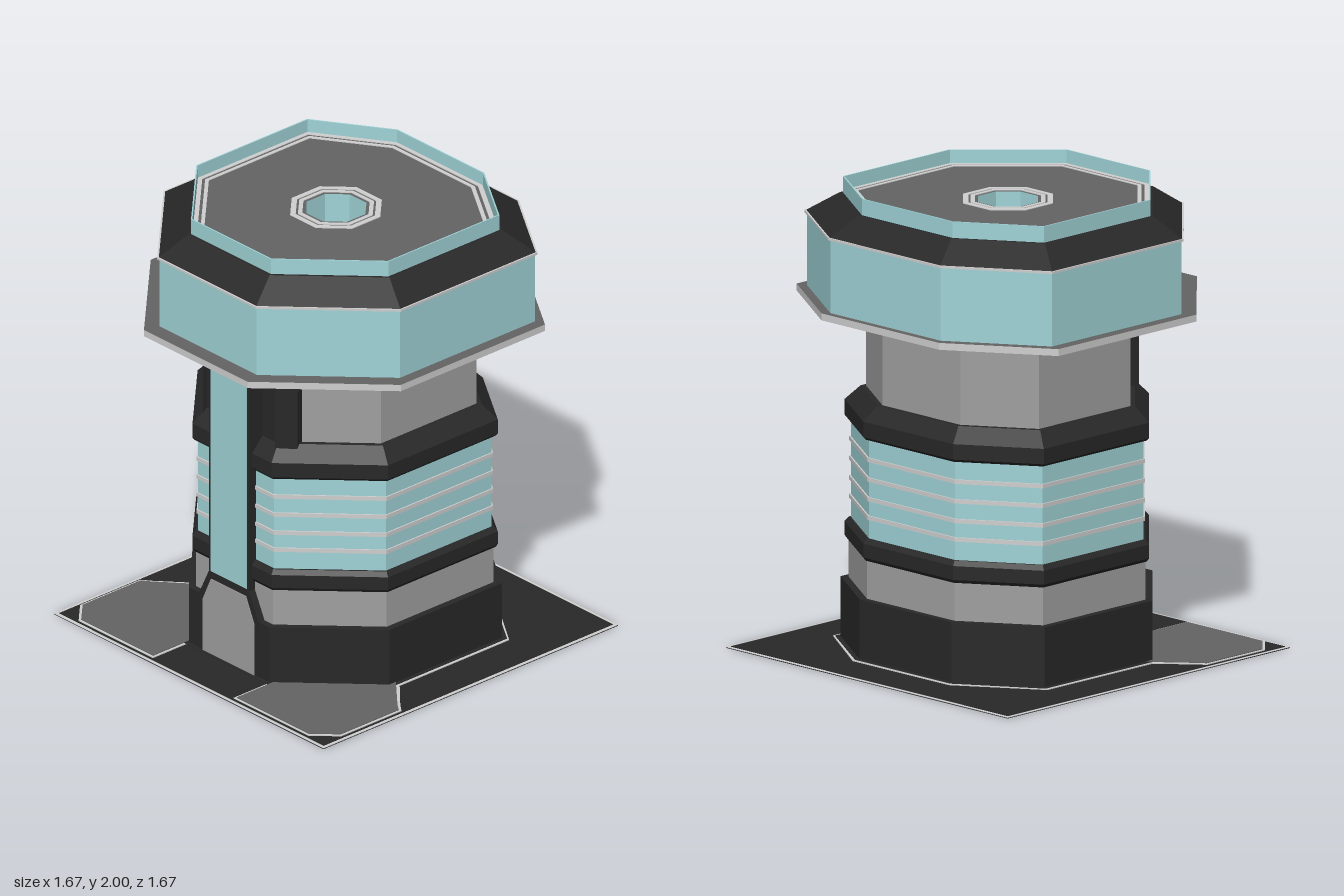
import * as THREE from 'three';

const mat = (name, color) => new THREE.MeshStandardMaterial({ name, color });

// Octagon with wide front chamfers and shallower back chamfers, [x, z] for radius 1
const TOWER = [[-0.415, 1], [0.415, 1], [1, 0.415], [1, -0.64], [0.45, -1], [-0.45, -1], [-1, -0.64], [-1, 0.415]];
const REGULAR = [[-0.42, 1], [0.42, 1], [1, 0.42], [1, -0.42], [0.42, -1], [-0.42, -1], [-1, -0.42], [-1, 0.42]];

// Joins equal-length loops of [x, y, z] points into a faceted surface
function loft(sections) {
  const pos = [];
  for (let k = 0; k + 1 < sections.length; k++) {
    const lo = sections[k], hi = sections[k + 1], n = lo.length;
    for (let i = 0; i < n; i++) {
      const j = (i + 1) % n;
      pos.push(...lo[i], ...lo[j], ...hi[j], ...lo[i], ...hi[j], ...hi[i]);
    }
  }
  const g = new THREE.BufferGeometry();
  g.setAttribute('position', new THREE.Float32BufferAttribute(pos, 3));
  g.computeVertexNormals();
  return g;
}

// Octagonal sweep of a [radius, y] profile
const band = (profile, outline = TOWER) =>
  loft(profile.map(([r, y]) => outline.map(([x, z]) => [x * r, y, z * r])));

const shapeOf = pts => new THREE.Shape(pts.map(([x, y]) => new THREE.Vector2(x, y)));
const mirrored = half => [...half, ...half.map(([x, y]) => [-x, y]).reverse()];

// Upright plate in x, y with its front face at z
function frontPlate(pts, z, depth) {
  return new THREE.ExtrudeGeometry(shapeOf(pts), { depth, bevelEnabled: false }).translate(0, 0, z - depth);
}
// Flat plate in x, z between heights y0 and y1
function floorPlate(pts, y0, y1) {
  return new THREE.ExtrudeGeometry(shapeOf(pts.map(([x, z]) => [x, -z])), { depth: y1 - y0, bevelEnabled: false })
    .rotateX(-Math.PI / 2).translate(0, y0, 0);
}
const slab = (size, y0, y1) => new THREE.BoxGeometry(size, y1 - y0, size).translate(0, (y0 + y1) / 2, 0);

export function createModel() {
  const model = new THREE.Group();
  model.name = 'tower';
  const dark = mat('darkTrim', 0x282828);
  const wall = mat('wallGrey', 0xa0a0a0);
  const floor = mat('floorGrey', 0x646464);
  const light = mat('lightEdge', 0xd0d0d0);
  const glass = mat('paleTeal', 0xa0d4d8);
  const add = (name, geometry, material) => {
    const m = new THREE.Mesh(geometry, material);
    m.name = name;
    model.add(m);
    return m;
  };

  // Ground plate with light border
  add('groundPlate', slab(1.67, 0, 0.003), dark);
  add('groundBorder', slab(1.67, 0.003, 0.005), light);
  add('groundTop', slab(1.64, 0.005, 0.007), dark);

  // Raised platform: light outline, dark apron and two grey front pads
  const half = [[0.25, 0.58], [0.25, 0.81], [0.71, 0.81], [0.81, 0.71], [0.81, 0.37], [0.77, 0.34],
    [0.635, 0.22], [0.635, -0.4], [0.285, -0.635]];
  add('platformOutline', floorPlate(mirrored(half), 0.006, 0.011), light);
  add('apron', band([[0.624, 0.01], [0.624, 0.0125], [0.5, 0.0125]]), dark);
  for (const s of [1, -1]) {
    const pad = [[0.26, 0.58], [0.26, 0.8], [0.705, 0.8], [0.8, 0.705], [0.8, 0.376], [0.766, 0.352], [0.6, 0.21]];
    add(s > 0 ? 'leftPad' : 'rightPad', floorPlate(pad.map(([x, z]) => [s * x, z]), 0.01, 0.014), floor);
  }

  // Tower body from the ground up
  add('base', band([[0.605, 0.005], [0.605, 0.27], [0.5, 0.27]]), dark);
  add('lowerWall', band([[0.575, 0.27], [0.575, 0.44]]), wall);
  add('lowerRing', band([[0.55, 0.435], [0.58, 0.435], [0.59, 0.45], [0.59, 0.51], [0.575, 0.53], [0.55, 0.53]]), dark);
  add('windowBand', band([[0.567, 0.52], [0.567, 0.96]]), glass);
  for (const y of [0.62, 0.7, 0.785, 0.87])
    add('windowStripe', band([[0.56, y - 0.009], [0.573, y - 0.009], [0.573, y + 0.009], [0.56, y + 0.009]]), light);
  add('upperRing', band([[0.55, 0.958], [0.58, 0.958], [0.59, 0.97], [0.59, 1.037], [0.532, 1.1], [0.48, 1.1]]), dark);
  add('neck', band([[0.512, 1.09], [0.512, 1.495]]), wall);

  // Overhanging flange, slightly forward
  const flange = [
    add('flangeUnderside', band([[0.4, 1.49], [0.775, 1.49]]), dark),
    add('flangeEdge', band([[0.775, 1.49], [0.775, 1.52]]), light),
    add('flangeTop', band([[0.775, 1.52], [0.65, 1.52]]), floor),
  ];
  flange.forEach(m => { m.position.z = 0.02; });

  // Head with sloped roof edge and parapet
  add('headWindows', band([[0.725, 1.515], [0.725, 1.838]]), glass);
  add('headLip', band([[0.7, 1.836], [0.735, 1.836], [0.735, 1.846], [0.722, 1.846]]), light);
  add('roofSlope', band([[0.728, 1.846], [0.607, 1.93], [0.58, 1.93]]), dark);
  add('parapet', band([[0.596, 1.93], [0.596, 2], [0.59, 2], [0.59, 1.935]]), glass);

  // Roof floor, light markings and central shaft
  add('roofFloor', band([[0.592, 1.94], [0.3, 1.94]]), floor);
  const inner = [[-0.415, 1], [0.415, 1], [1, 0.415], [1, -0.64], [0.45, -1], [-0.45, -1], [-1, -0.64], [-1, 0.415]]
    .map(([x, z]) => [x * 0.3, 1.94, z * 0.3]);
  add('roofCentre', loft([inner, REGULAR.map(([x, z]) => [x * 0.125, 1.94, z * 0.125])]), floor);
  for (const [r1, r0] of [[0.589, 0.57], [0.558, 0.542]])
    add('roofMarking', band([[r1, 1.94], [r1, 1.943], [r0, 1.943], [r0, 1.94]]), light);
  for (const [r1, r0] of [[0.188, 0.165], [0.156, 0.138]])
    add('shaftMarking', band([[r1, 1.94], [r1, 1.943], [r0, 1.943], [r0, 1.94]], REGULAR), light);
  add('shaftWall', band([[0.125, 1.94], [0.125, 1.74]], REGULAR), glass);
  add('shaftFloor', band([[0.125, 1.74], [0, 1.74]], REGULAR), light);

  // Front column with tall window
  add('columnFrame', frontPlate([[-0.125, 0.3], [0.125, 0.3], [0.125, 1.49], [-0.125, 1.49]], 0.606, 0.12), dark);
  add('columnWindow', frontPlate(mirrored([[0.112, 0.4], [0.112, 1.415], [0.065, 1.458]]), 0.609, 0.006), glass);

  // Doorway
  add('doorFrame', frontPlate(mirrored([[0.185, 0.007], [0.185, 0.27], [0.122, 0.4]]), 0.608, 0.1), dark);
  add('door', frontPlate(mirrored([[0.16, 0.012], [0.16, 0.25], [0.108, 0.365]]), 0.612, 0.006), wall);

  // Brackets flaring out under the head on both sides of the column
  add('bracketPanel', frontPlate([[-0.23, 1.07], [0.23, 1.07], [0.23, 1.49], [-0.23, 1.49]], 0.53, 0.08), dark);
  for (const s of [1, -1]) {
    const section = (y, x, z) => {
      const p = [[0.222, y, 0.55], [x, y, z], [x - 0.03, y, z - 0.09], [0.222, y, 0.45]].map(([a, b, c]) => [s * a, b, c]);
      return s > 0 ? p : p.reverse();
    };
    const point = Array(4).fill([s * 0.25, 1.075, 0.48]);
    add(s > 0 ? 'leftBracket' : 'rightBracket',
      loft([point, section(1.075, 0.29, 0.485), section(1.35, 0.29, 0.485), section(1.49, 0.4, 0.375)]), dark);
  }
  return model;
}
